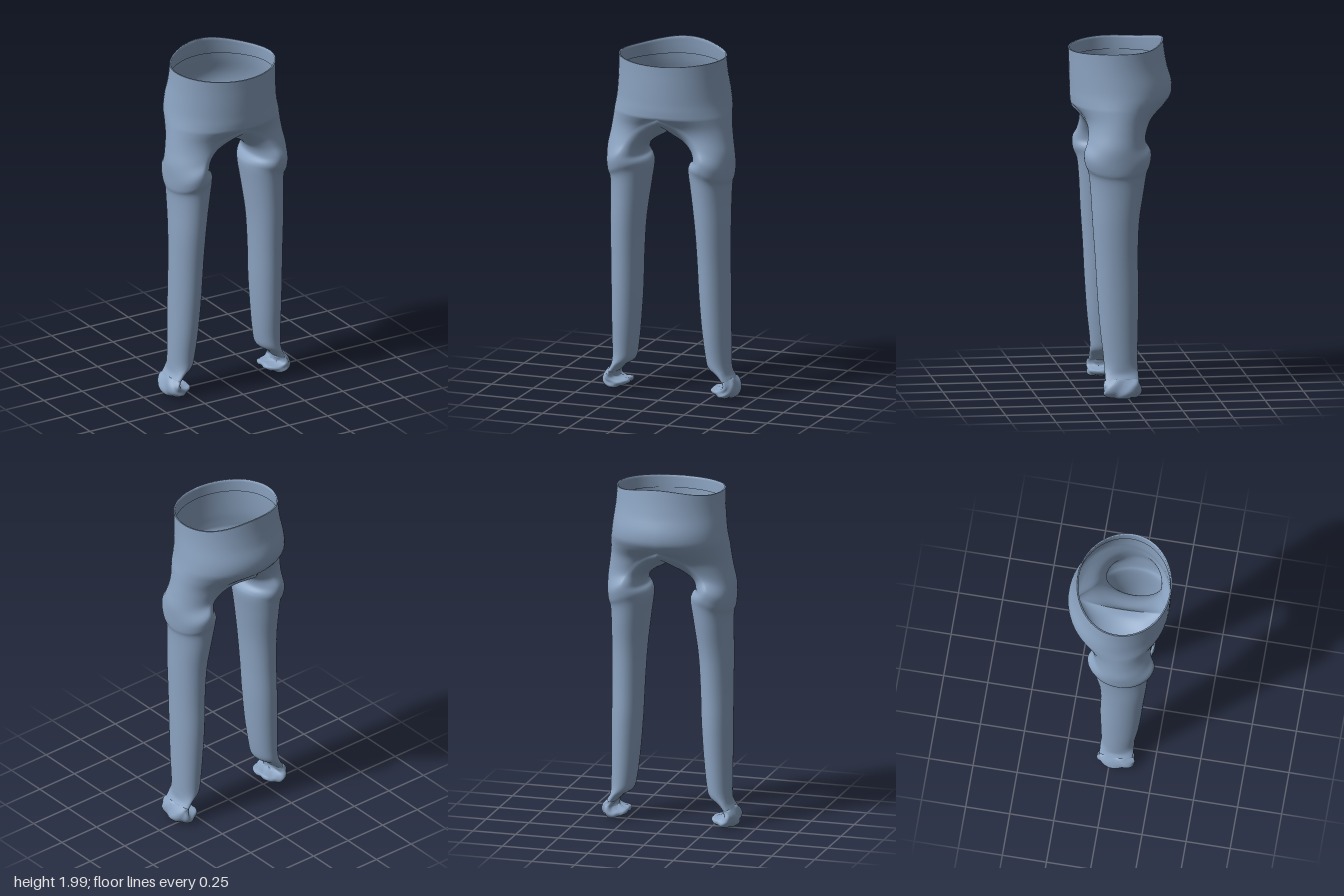
import * as THREE from 'three';
import { mergeGeometries, mergeVertices } from 'three/addons/utils/BufferGeometryUtils.js';

const SEG = 32; // points along half a ring

// Waist rows: height, half width, back z, front z
const WAIST = [
  [1.96, 0.308, -0.24, 0.29], [1.9, 0.31, -0.25, 0.288], [1.84, 0.314, -0.265, 0.287],
  [1.77, 0.322, -0.286, 0.285], [1.72, 0.328, -0.29, 0.283], [1.68, 0.334, -0.28, 0.282], [1.64, 0.34, -0.25, 0.278],
];

// Leg rows: outer y, middle y, inner y, inner x, middle x, outer x, back z, front z
const LEG = [
  [1.64, 1.64, 1.55, 0, 0, 0.34, -0.25, 0.278],
  [1.57, 1.585, 1.51, 0.03, 0.1, 0.348, -0.17, 0.225],
  [1.5, 1.53, 1.475, 0.09, 0.17, 0.358, -0.13, 0.205],
  [1.42, 1.46, 1.435, 0.135, 0.22, 0.37, -0.113, 0.212],
  [1.34, 1.4, 1.385, 0.15, 0.25, 0.368, -0.14, 0.235],
  [1.28, 1.34, 1.355, 0.125, 0.24, 0.363, -0.137, 0.232],
  [1.24, 1.28, 1.315, 0.115, 0.235, 0.353, -0.118, 0.21],
  [1.15, 1.17, 1.2, 0.13, 0.24, 0.35, -0.1, 0.199],
  [1, 1, 1, 0.155, 0.25, 0.351, -0.074, 0.19],
  [0.8, 0.8, 0.8, 0.168, 0.256, 0.35, -0.066, 0.176],
  [0.6, 0.6, 0.6, 0.176, 0.262, 0.35, -0.069, 0.165],
  [0.4, 0.4, 0.4, 0.19, 0.27, 0.35, -0.064, 0.15],
  [0.25, 0.25, 0.25, 0.207, 0.278, 0.35, -0.06, 0.133],
  [0.19, 0.19, 0.18, 0.225, 0.288, 0.35, -0.06, 0.13],
  [0.15, 0.15, 0.145, 0.275, 0.318, 0.352, -0.06, 0.13],
  [0.125, 0.115, 0.11, 0.31, 0.34, 0.365, -0.06, 0.13],
];

// Crumpled cuff at the ankle, rolling under and back up inside
const CUFF = [
  [0.125, 0.115, 0.11, 0.31, 0.34, 0.365, -0.06, 0.13],
  [0.09, 0.085, 0.078, 0.315, 0.36, 0.388, -0.067, 0.14],
  [0.05, 0.055, 0.068, 0.285, 0.35, 0.398, -0.07, 0.142],
  [0.022, 0.035, 0.065, 0.248, 0.32, 0.388, -0.07, 0.14],
  [0.01, 0.022, 0.045, 0.245, 0.31, 0.365, -0.06, 0.12],
  [0.012, 0.025, 0.035, 0.268, 0.31, 0.348, -0.045, 0.1],
  [0.04, 0.05, 0.06, 0.28, 0.315, 0.342, -0.03, 0.085],
  [0.075, 0.08, 0.08, 0.32, 0.34, 0.355, -0.01, 0.07],
];

// Smooth rows in between the given ones
function subdivide(rows, steps) {
  const out = [];
  const at = (i) => rows[Math.max(0, Math.min(rows.length - 1, i))];
  for (let i = 0; i < rows.length - 1; i++) {
    for (let s = 0; s < steps; s++) {
      const t = s / steps;
      out.push(rows[i].map((b, k) => {
        const a = at(i - 1)[k], c = at(i + 1)[k], d = at(i + 2)[k];
        return b + 0.5 * t * (c - a + t * (2 * a - 5 * b + 4 * c - d + t * (3 * (b - c) + d - a)));
      }));
    }
  }
  out.push(rows[rows.length - 1]);
  return out;
}

// Skin a list of rings; side = -1 mirrors the surface
function loft(rings, side) {
  const n = rings[0].length, pos = [], idx = [];
  rings.forEach((ring) => ring.forEach((p) => pos.push(p[0] * side, p[1], p[2])));
  for (let i = 0; i < rings.length - 1; i++) {
    for (let j = 0; j < n - 1; j++) {
      const a = i * n + j, b = a + 1, c = a + n, d = c + 1;
      if (side > 0) idx.push(a, b, c, b, d, c);
      else idx.push(a, c, b, b, c, d);
    }
  }
  const g = new THREE.BufferGeometry();
  g.setAttribute('position', new THREE.Float32BufferAttribute(pos, 3));
  g.setIndex(idx);
  return g;
}

// Half ring of the waist, with the rim rising at the back
function waistRing([y, rx, zb, zf], inset = 0) {
  const ring = [], rise = Math.max(0, (y - 1.84) / 0.12);
  for (let j = 0; j <= SEG; j++) {
    const a = (j / SEG - 0.5) * Math.PI, s = Math.sin(a);
    const lift = s > 0 ? -0.013 * s * s : 0.04 * Math.pow(s, 4);
    ring.push([(rx - inset) * Math.cos(a), y + lift * rise, (zb + zf) / 2 + ((zf - zb) / 2 - inset) * s]);
  }
  return ring;
}

// Closed leg ring: outer half first, then the inner half
function legRing([yo, ym, yi, xi, xm, xo, zb, zf], crumple) {
  const ring = [];
  for (let j = 0; j <= 2 * SEG; j++) {
    const a = ((j % (2 * SEG)) / SEG - 0.5) * Math.PI;
    const c = Math.abs(Math.cos(a)), outer = j <= SEG || j === 2 * SEG;
    const w = crumple * Math.sin(5 * a + 60 * ym);
    ring.push([
      xm + ((outer ? xo : xi) - xm) * c + w * (outer ? 1 : -1) * c,
      ym + ((outer ? yo : yi) - ym) * c + Math.abs(w) * 0.8,
      (zb + zf) / 2 + ((zf - zb) / 2 + w) * Math.sin(a),
    ]);
  }
  return ring;
}

// Weld parts so that the shading runs across their seams
function weld(parts) {
  const g = mergeVertices(mergeGeometries(parts), 1e-4);
  g.computeVertexNormals();
  return g;
}

export function createModel() {
  const group = new THREE.Group();
  group.name = 'trousers';
  const cloth = new THREE.MeshStandardMaterial({ color: 0x8ca4c2, side: THREE.DoubleSide });
  cloth.name = 'blue grey cloth';
  const add = (name, parts) => {
    const mesh = new THREE.Mesh(weld(parts), cloth);
    mesh.name = name;
    group.add(mesh);
  };

  const waist = subdivide(WAIST, 3);
  const legs = subdivide(LEG, 5).map((r) => legRing(r, 0));
  const cuff = subdivide(CUFF, 4).map((r, i) => legRing(r, i === 0 ? 0 : 0.005));

  // Waist and both legs in one continuous cloth
  add('waistAndLegs', [1, -1].flatMap((s) => [loft(waist.map((r) => waistRing(r)), s), loft(legs, s)]));

  // Turned-in hem inside the waist opening
  const hem = [waistRing(waist[0]), ...waist.slice(0, 5).map((r) => waistRing(r, 0.008))];
  add('waistHem', [1, -1].map((s) => loft([...hem].reverse(), -s)));

  // Crumpled ankle cuffs
  add('leftCuff', [loft(cuff, 1)]);
  add('rightCuff', [loft(cuff, -1)]);
  return group;
}
